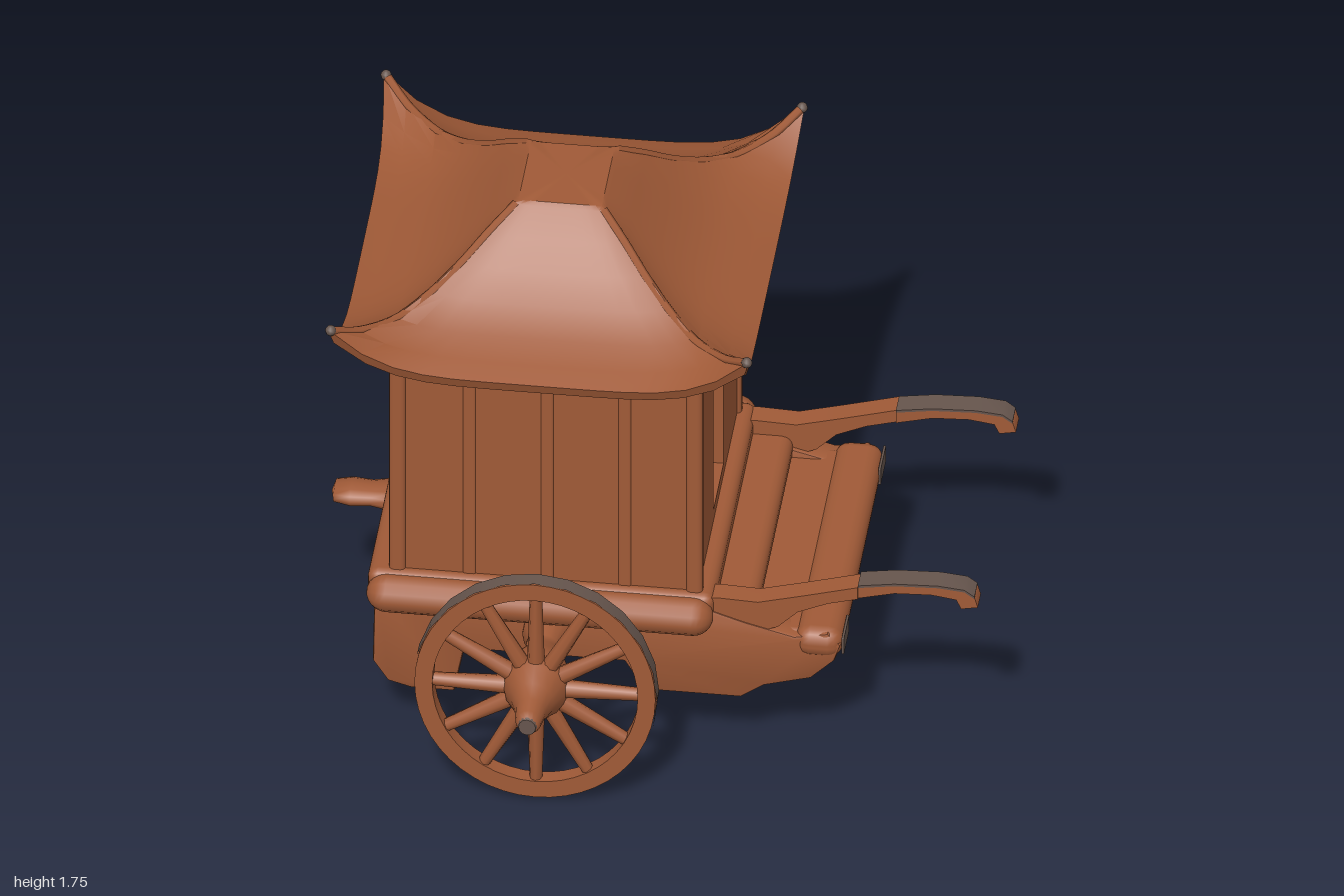
import * as THREE from 'three';
import { toCreasedNormals, mergeVertices } from 'three/addons/utils/BufferGeometryUtils.js';
import { RoundedBoxGeometry } from 'three/addons/geometries/RoundedBoxGeometry.js';

const CX = -0.296; // centre of cabin, roof and axle along x

export function createModel() {
  const model = new THREE.Group();
  model.name = 'coveredCart';
  const wood = new THREE.MeshStandardMaterial({ color: 0xa05a37 });
  wood.name = 'brown wood';
  const worn = new THREE.MeshStandardMaterial({ color: 0x66554d });
  worn.name = 'worn grey';

  function add(name, geometry, material = wood, parent = model) {
    const mesh = new THREE.Mesh(geometry, material);
    mesh.name = name;
    parent.add(mesh);
    return mesh;
  }
  // Rounded box given by its limits on each axis
  function block(name, [x0, x1], [y0, y1], [z0, z1], radius = 0.015, material = wood) {
    const g = new RoundedBoxGeometry(x1 - x0, y1 - y0, z1 - z0, 2, radius);
    g.translate((x0 + x1) / 2, (y0 + y1) / 2, (z0 + z1) / 2);
    return add(name, g, material);
  }
  const outline = (points) => new THREE.Shape(points.map(([x, y]) => new THREE.Vector2(x, y)));
  // Flat shape in x and y, given a thickness centred on z
  function slab(name, points, z, depth, material = wood, bevel = 0.01) {
    const g = new THREE.ExtrudeGeometry(outline(points), {
      depth: depth - 2 * bevel, bevelEnabled: bevel > 0, bevelSize: bevel,
      bevelThickness: bevel, bevelOffset: -bevel, bevelSegments: 2,
    });
    g.translate(0, 0, z - depth / 2 + bevel);
    return add(name, toCreasedNormals(g, 0.7), material);
  }

  // Cabin: three plain walls and a front wall with a doorway
  block('backWall', [-0.762, -0.72], [0.56, 1.45], [-0.45, 0.45]);
  for (const s of [1, -1]) {
    block('sideWall', [-0.75, 0.15], [0.56, 1.45], [s * 0.444 - 0.02, s * 0.444 + 0.02]);
    for (const x of [-0.743, 0.148]) {
      block('cornerPost', [x - 0.025, x + 0.025], [0.56, 1.45], [s * 0.45 - 0.025, s * 0.45 + 0.025]);
    }
    for (let i = 1; i < 4; i++) {
      const x = -0.76 + i * 0.233;
      block('sideBatten', [x - 0.02, x + 0.02], [0.58, 1.43], [s * 0.459 - 0.009, s * 0.459 + 0.009], 0.008);
    }
  }
  for (const z of [-0.27, -0.09, 0.09, 0.27]) {
    block('backBatten', [-0.767, -0.75], [0.58, 1.43], [z - 0.018, z + 0.018], 0.008);
  }
  const front = outline([[-0.44, 0.56], [0.44, 0.56], [0.44, 1.45], [-0.44, 1.45]]);
  front.holes.push(new THREE.Path(
    [[-0.12, 0.63], [-0.12, 1.19], [0.12, 1.19], [0.12, 0.63]].map((p) => new THREE.Vector2(...p))));
  const frontGeo = new THREE.ExtrudeGeometry(front, { depth: 0.05, bevelEnabled: false });
  frontGeo.rotateY(Math.PI / 2);
  frontGeo.translate(0.11, 0, 0);
  add('frontWall', frontGeo);

  // Flared roof: square rings of half width, half depth, height and corner lift
  const rings = [
    [0, 0, 1.42, 0], [0.47, 0.47, 1.42, 0.02], [0.54, 0.55, 1.405, 0.07], [0.6, 0.615, 1.39, 0.14],
    [0.612, 0.628, 1.425, 0.165], [0.545, 0.56, 1.45, 0.09], [0.45, 0.47, 1.48, 0.045],
    [0.36, 0.38, 1.535, 0.028], [0.28, 0.3, 1.6, 0.022], [0.21, 0.23, 1.67, 0.018],
    [0.138, 0.16, 1.74, 0.008], [0.125, 0.147, 1.75, 0], [0, 0, 1.75, 0],
  ];
  const flareAt = (lift) => 1 + 0.2 * lift;
  const N = 14, around = 4 * N;
  const pos = [], index = [];
  rings.forEach(([hx, hz, y, lift], r) => {
    for (let i = 0; i < around; i++) {
      const s = ((i % N) / N) * 2 - 1;
      const [u, v] = [[s, 1], [1, -s], [-s, -1], [-1, s]][Math.floor(i / N)];
      const raised = lift * Math.abs(s) ** 5;
      pos.push(CX + u * hx * flareAt(raised), y + raised, v * hz * flareAt(raised));
      if (r === rings.length - 1) continue;
      const a = r * around + i, b = r * around + (i + 1) % around;
      if (r > 0) index.push(a, b, b + around);
      if (r < rings.length - 2) index.push(a, b + around, a + around);
    }
  });
  const roofGeo = new THREE.BufferGeometry();
  roofGeo.setAttribute('position', new THREE.Float32BufferAttribute(pos, 3));
  roofGeo.setIndex(index);
  add('roof', toCreasedNormals(mergeVertices(roofGeo), 0.45));
  // Raised hips along the four roof corners, worn at the tips
  for (const sx of [1, -1]) for (const sz of [1, -1]) {
    const path = new THREE.CatmullRomCurve3(rings.slice(4, 11).map(([hx, hz, y, lift]) => {
      const f = flareAt(lift);
      return new THREE.Vector3(CX + sx * (hx * f - 0.008), y + lift - 0.008, sz * (hz * f - 0.008));
    }));
    add('roofHip', new THREE.TubeGeometry(path, 20, 0.014, 6));
    const tip = new THREE.SphereGeometry(0.017, 8, 6);
    tip.translate(...path.getPoint(0).toArray());
    add('roofTip', tip, worn);
  }

  // Deck, floor and front board
  block('cabinDeck', [-0.83, 0.21], [0.47, 0.59], [-0.5, 0.5], 0.03);
  block('floor', [-0.79, 0.52], [0.37, 0.465], [-0.46, 0.46], 0.02);
  block('frontBoard', [0.45, 0.595], [0.385, 0.485], [-0.495, 0.495], 0.045);
  block('frontStep', [0.12, 0.33], [0.44, 0.53], [-0.45, 0.45], 0.035);
  for (const z of [-0.3, -0.1, 0.1, 0.3]) {
    block('floorBeam', [-0.75, 0.53], [0.335, 0.4], [z - 0.06, z + 0.06], 0.02);
  }
  block('crossBeam', [-0.66, -0.58], [0.25, 0.32], [-0.44, 0.44], 0.02);
  const peg = new THREE.LatheGeometry(
    [[0, -0.2], [0.04, -0.19], [0.05, -0.14], [0.045, -0.08], [0.06, 0], [0, 0.01]]
      .map(([r, y]) => new THREE.Vector2(r, y)), 12);
  peg.rotateZ(-Math.PI / 2);
  peg.scale(1, 0.65, 1.2);
  peg.translate(-0.8, 0.51, 0);
  add('rearPeg', peg);

  // Top edge of a shaft handle, from the worn start to the tip
  const handleTop = [[0.64, 0.658], [0.75, 0.675], [0.88, 0.68], [0.96, 0.672], [0.99, 0.65], [1, 0.615]];
  for (const s of [1, -1]) {
    // Side frame with rear foot and tapering front
    slab('sideFrame', [
      [-0.81, 0.52], [-0.815, 0.25], [-0.77, 0.18], [-0.7, 0.16], [-0.57, 0.16], [-0.54, 0.32], [-0.06, 0.32],
      [0, 0.22], [0.29, 0.22], [0.36, 0.27], [0.5, 0.31], [0.57, 0.38], [0.59, 0.44], [0.55, 0.48],
      [0.45, 0.46], [0.3, 0.5], [0.18, 0.54]], s * 0.44, 0.09);
    const rail = new THREE.CapsuleGeometry(0.06, 0.92, 6, 12);
    rail.rotateZ(Math.PI / 2);
    rail.translate(-0.31, 0.525, s * 0.505);
    add('sideRail', rail);
    block('wornCorner', [0.592, 0.6], [0.41, 0.47], [s * 0.425 - 0.06, s * 0.425 + 0.06], 0.003, worn);

    // Pulling shaft, worn along the top of the handle
    slab('shaft', [
      [0.1, 0.57], [0.22, 0.58], [0.34, 0.575], [0.47, 0.61], [0.64, 0.658], [0.64, 0.615], [0.55, 0.59],
      [0.46, 0.55], [0.4, 0.49], [0.3, 0.45], [0.1, 0.47]], s * 0.445, 0.07, wood, 0);
    slab('shaftHandle', [...handleTop, [0.95, 0.605],
      [0.935, 0.637], [0.86, 0.648], [0.75, 0.643], [0.64, 0.615]], s * 0.44, 0.07, wood, 0);
    const cover = handleTop.slice(0, 5);
    slab('wornHandleTop', [
      ...cover.map(([x, y]) => [x, y + 0.004]),
      ...cover.map(([x, y]) => [x, y - 0.004]).reverse()], s * 0.44, 0.072, worn, 0);

    // Wheel, modelled facing +z about its own centre
    const wheel = new THREE.Group();
    wheel.name = 'wheel';
    wheel.position.set(CX + 0.006, 0.403, s * 0.75);
    wheel.scale.set(0.92, 1, 1);
    if (s < 0) wheel.rotation.y = Math.PI;
    model.add(wheel);
    const ring = new THREE.Shape().absarc(0, 0, 0.393, 0, Math.PI * 2);
    ring.holes.push(new THREE.Path().absarc(0, 0, 0.335, 0, Math.PI * 2, true));
    const rim = new THREE.ExtrudeGeometry(ring, { depth: 0.05, bevelEnabled: false, curveSegments: 24 });
    rim.translate(0, 0, -0.025);
    add('rim', toCreasedNormals(rim, 0.6), wood, wheel);
    const tread = new THREE.CylinderGeometry(0.398, 0.398, 0.052, 24, 1, true);
    tread.rotateX(Math.PI / 2);
    add('tread', tread, worn, wheel);
    for (let i = 0; i < 12; i++) {
      const spoke = new THREE.CylinderGeometry(0.02, 0.03, 0.3, 8);
      spoke.translate(0, 0.2, 0);
      spoke.rotateZ((i / 12) * Math.PI * 2);
      add('spoke', spoke, wood, wheel);
    }
    const hub = new THREE.LatheGeometry(
      [[0, -0.34], [0.085, -0.33], [0.08, -0.25], [0.05, -0.19], [0.06, -0.15], [0.09, -0.09], [0.115, -0.02],
        [0.1, 0.03], [0.07, 0.08], [0.05, 0.13], [0.042, 0.18], [0.03, 0.203], [0, 0.205]]
        .map(([r, y]) => new THREE.Vector2(r, y)), 16);
    hub.rotateX(Math.PI / 2);
    add('hub', hub, wood, wheel);
    const cap = new THREE.CylinderGeometry(0.028, 0.032, 0.008, 12);
    cap.rotateX(Math.PI / 2);
    cap.translate(0, 0, 0.204);
    add('hubCap', cap, worn, wheel);
  }
  const axle = new THREE.CylinderGeometry(0.05, 0.05, 1.1, 12);
  axle.rotateX(Math.PI / 2);
  axle.translate(CX, 0.405, 0);
  add('axle', axle);

  return model;
}
